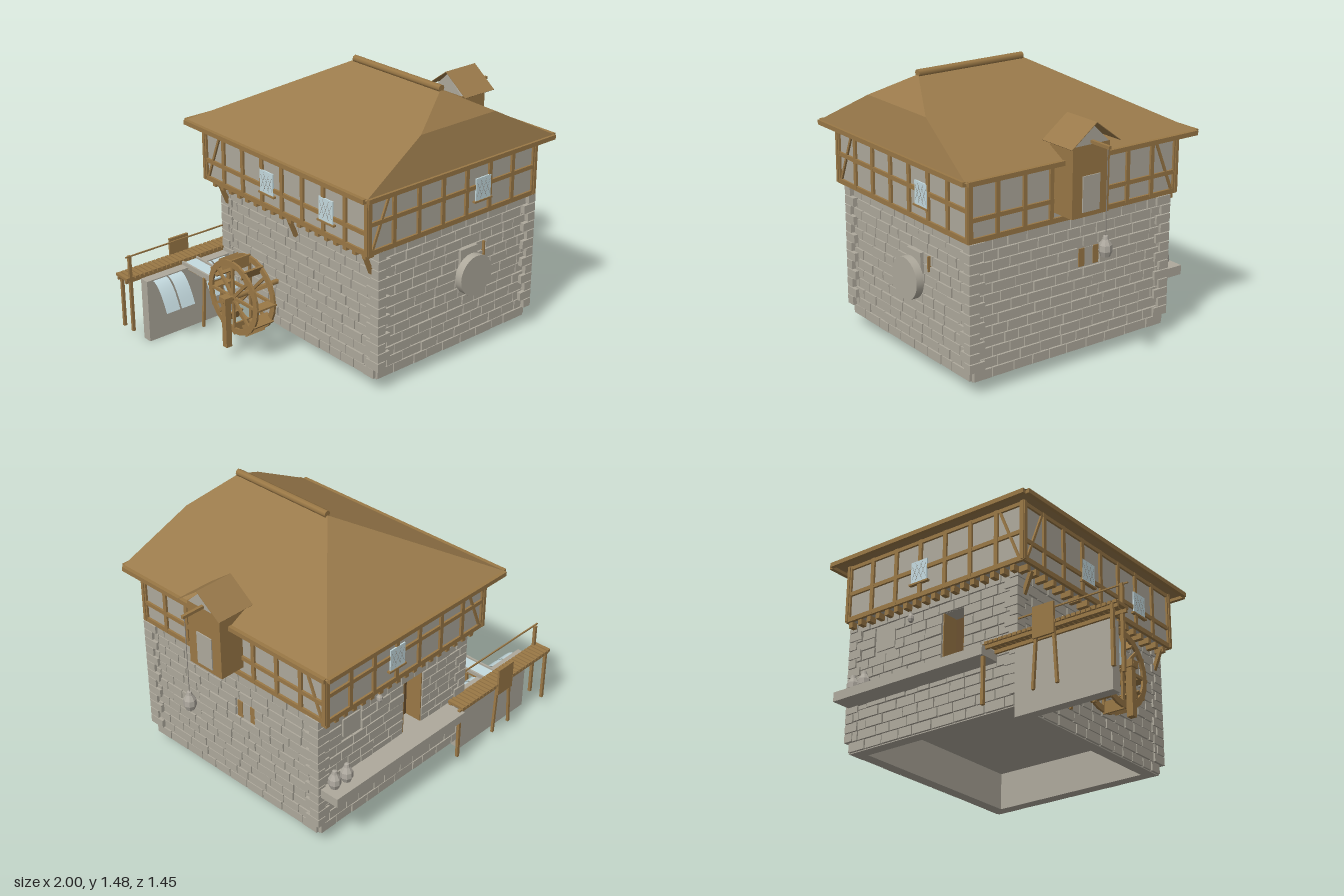
import * as THREE from 'three';
import { mergeGeometries } from 'three/addons/utils/BufferGeometryUtils.js';
import { ConvexGeometry } from 'three/addons/geometries/ConvexGeometry.js';

const material = (name, color, extra = {}) => {
  const m = new THREE.MeshStandardMaterial({ color, ...extra });
  m.name = name;
  return m;
};
const stone = material('stone', 0xaea99c);
const plaster = material('plaster', 0xaea99c);
const timber = material('timber', 0x9a7846);
const thatch = material('roof brown', 0x9a7a4b);
const darkWood = material('dark wood', 0x6a5030);
const water = material('water', 0xc4dadf, { side: THREE.DoubleSide });
const sackGrey = material('sack grey', 0xaea99f, { flatShading: true });
const rope = material('rope', 0x8f8a82);

// Box geometry given by its minimum and maximum corners
const boxGeo = (x0, x1, y0, y1, z0, z1) =>
  new THREE.BoxGeometry(x1 - x0, y1 - y0, z1 - z0).translate((x0 + x1) / 2, (y0 + y1) / 2, (z0 + z1) / 2);

function add(parent, name, geometry, mat) {
  const mesh = new THREE.Mesh(geometry, mat);
  mesh.name = name;
  parent.add(mesh);
  return mesh;
}
const box = (parent, name, mat, ...b) => add(parent, name, boxGeo(...b), mat);

// Square or round bar between two points
function bar(parent, name, mat, a, b, r, sides = 4) {
  const p = new THREE.Vector3(...a), q = new THREE.Vector3(...b), d = q.clone().sub(p);
  const g = sides === 4 ? new THREE.BoxGeometry(r * 1.4, d.length(), r * 1.4) : new THREE.CylinderGeometry(r, r, d.length(), sides);
  const mesh = add(parent, name, g, mat);
  mesh.quaternion.setFromUnitVectors(new THREE.Vector3(0, 1, 0), d.normalize());
  mesh.position.copy(p.add(q).multiplyScalar(0.5));
  return mesh;
}

let seed = 7;
const rand = () => (seed = (seed * 16807) % 2147483647) / 2147483647;

// Group whose local z points out of one wall: 0 front, 1 right, 2 back, 3 left
function face(parent, side, distance, name) {
  const g = new THREE.Group();
  g.name = name;
  g.rotation.y = side * Math.PI / 2;
  g.position.set(distance * [0, 1, 0, -1][side], 0, distance * [1, 0, -1, 0][side]);
  parent.add(g);
  return g;
}

// Courses of raised blocks, leaving openings free
function masonry(u0, u1, holes) {
  const geos = [], rows = 13, y0 = 0.07, h = 0.71 / rows, gap = 0.006;
  for (let r = 0; r < rows; r++) {
    const a = y0 + r * h, b = a + h - gap;
    let spans = [[u0, u1]];
    for (const [h0, h1, ha, hb] of holes) {
      if (b <= ha || a >= hb) continue;
      spans = spans.flatMap(([s, e]) => [[s, Math.min(e, h0)], [Math.max(s, h1), e]]).filter(([s, e]) => e - s > 0.015);
    }
    for (const [s, e] of spans) {
      let u = s, len = r % 2 ? 0.06 : 0.11;
      while (u < e - 0.001) {
        let end = u + len;
        if (e - end < 0.04) end = e;
        geos.push(boxGeo(u, end - gap, a, b, -0.01, 0.01 + rand() * 0.005));
        u = end;
        len = 0.075 + rand() * 0.07;
      }
    }
  }
  return mergeGeometries(geos);
}

function leadedWindow(parent, u, y) {
  const w = 0.052, h = 0.06;
  box(parent, 'windowPane', water, u - w, u + w, y - h, y + h, 0.006, 0.0135);
  box(parent, 'windowSill', timber, u - w - 0.01, u + w + 0.01, y - h - 0.01, y - h, 0, 0.018);
  for (let i = -1; i <= 1; i++) for (const s of [-1, 1]) {
    const half = 0.05 - Math.abs(i) * 0.012, c = u + i * 0.028;
    bar(parent, 'windowLead', rope, [c - half * 0.45, y - s * half, 0.0135], [c + half * 0.45, y + s * half, 0.0135], 0.001);
  }
}

function sack(parent, name, x, y, z, s = 1) {
  const pts = [[0, 0], [0.023, 0], [0.034, 0.028], [0.032, 0.058], [0.016, 0.085], [0.012, 0.102], [0, 0.105]];
  add(parent, name, new THREE.LatheGeometry(pts.map(([r, h]) => new THREE.Vector2(r * s, h * s)), 8), sackGrey).position.set(x, y, z);
}

function buildBase(root) {
  const g = new THREE.Group();
  g.name = 'stoneStorey';
  root.add(g);
  // Core of the walls with a doorway left open at the back
  const core = [[-0.355, 0.70, 0.27, 0.78, -0.49, 0.615], [-0.355, -0.04, 0.27, 0.78, -0.585, -0.49],
    [0.1, 0.70, 0.27, 0.78, -0.585, -0.49], [-0.04, 0.1, 0.27, 0.36, -0.585, -0.49], [-0.04, 0.1, 0.67, 0.78, -0.585, -0.49]];
  add(g, 'wallCore', mergeGeometries(core.map(b => boxGeo(...b))), stone);
  for (const [x0, x1, z0, z1] of [[-0.355, 0.70, 0.55, 0.615], [-0.355, 0.70, -0.585, -0.52], [-0.355, -0.29, -0.52, 0.55], [0.635, 0.70, -0.52, 0.55]])
    box(g, 'foundationWall', stone, x0, x1, 0.065, 0.27, z0, z1);
  const walls = [[-0.355, 0.70, 0.615, []], [-0.615, 0.585, 0.70, [[0.02, 0.155, 0.505, 0.605]]],
    [-0.70, 0.355, 0.585, [[-0.1, 0.04, 0.36, 0.67], [-0.55, -0.41, 0.57, 0.69]]], [-0.585, 0.615, 0.355, []]];
  walls.forEach(([u0, u1, d, holes], i) => add(face(g, i, d, 'stoneWall'), 'stoneBlocks', masonry(u0, u1, holes), stone));
  // Alternating corner stones
  const quoins = [];
  for (let r = 0; r < 13; r++) for (const sx of [-1, 1]) for (const sz of [-1, 1]) {
    const lx = r % 2 ? 0.08 : 0.05, lz = r % 2 ? 0.06 : 0.09, y = 0.125 + r * 0.0505;
    const X = sx > 0 ? 0.727 : -0.376, Z = sz > 0 ? 0.65 : -0.605;
    quoins.push(boxGeo(Math.min(X, X - sx * lx), Math.max(X, X - sx * lx), y, y + 0.045, Math.min(Z, Z - sz * lz), Math.max(Z, Z - sz * lz)));
  }
  add(g, 'cornerStones', mergeGeometries(quoins), stone);
  // Shuttered window on the right wall
  const right = face(g, 1, 0.70, 'shutteredWindow');
  box(right, 'windowRecess', stone, 0.06, 0.115, 0.508, 0.602, 0, 0.003);
  for (const u of [0.025, 0.115]) box(right, 'shutter', timber, u, u + 0.035, 0.508, 0.602, 0, 0.006);
  // Recessed back door, niche and ledge
  const back = face(g, 2, 0.585, 'backDetails');
  box(back, 'door', darkWood, -0.1, 0.04, 0.36, 0.67, -0.095, -0.088);
  for (const u of [-0.1, 0.034]) box(back, 'doorLining', timber, u, u + 0.006, 0.36, 0.67, -0.09, 0.006);
  box(back, 'niche', stone, -0.54, -0.42, 0.58, 0.68, 0, 0.008);
  box(g, 'backLedge', stone, -0.25, 0.71, 0.31, 0.36, -0.715, -0.58);
  sack(g, 'ledgeSack', 0.65, 0.36, -0.64);
  sack(g, 'ledgeSack', 0.57, 0.36, -0.645);
  sack(g, 'hangingLantern', 0.3, 0.675, -0.61, 0.5);
  // Millstone leaning on the front wall
  add(g, 'millstone', new THREE.CylinderGeometry(0.11, 0.11, 0.042, 24).rotateX(Math.PI / 2), stone).position.set(0.25, 0.475, 0.68);
  box(g, 'millstoneBracket', stone, 0.19, 0.31, 0.5, 0.612, 0.62, 0.645);
  box(g, 'millstonePeg', timber, 0.362, 0.37, 0.53, 0.61, 0.62, 0.64);
}

function buildUpper(root) {
  const g = new THREE.Group();
  g.name = 'timberStorey';
  root.add(g);
  box(g, 'plasterWalls', plaster, -0.435, 0.708, 0.78, 1.106, -0.638, 0.638);
  // [u0, u1, distance, bays, rail height, brace end, window centres]
  const sides = [[-0.447, 0.72, 0.638, 7, 0.935, -1, [0.33]], [-0.65, 0.65, 0.708, 8, 0.89, 1, []],
    [-0.72, 0.447, 0.638, 7, 0.935, 1, [-0.22]], [-0.65, 0.65, 0.435, 8, 0.89, -1, [-0.115, 0.345]]];
  sides.forEach(([u0, u1, d, bays, rail, end, windows], i) => {
    const f = face(g, i, d, 'timberFrame'), step = (u1 - u0 - 0.022) / bays;
    for (let k = 0; k <= bays; k++) {
      const u = u0 + 0.011 + k * step, w = k % bays ? 0.011 : 0.016;
      box(f, 'post', timber, u - w, u + w, 0.78, 1.1, -0.005, 0.012);
    }
    for (const [y, h] of [[0.788, 0.013], [rail, 0.011], [1.088, 0.01]]) box(f, 'rail', timber, u0, u1, y - h, y + h, -0.005, 0.0115);
    const outer = end < 0 ? u0 + 0.035 : u1 - 0.035;
    bar(f, 'brace', timber, [outer, 0.8, 0.004], [outer - end * 0.12, 1.09, 0.004], 0.009);
    windows.forEach(u => leadedWindow(f, u, 0.92));
  });
  // Joist ends carrying the overhang
  for (let k = 0; k < 18; k++) {
    const t = k / 17;
    box(g, 'leftJoist', timber, -0.43, -0.34, 0.745, 0.777, -0.6 + t * 1.19, -0.575 + t * 1.19);
    box(g, 'backJoist', timber, -0.38 + t * 1.06, -0.355 + t * 1.06, 0.745, 0.777, -0.638, -0.57);
  }
  for (const z of [-0.55, 0.02, 0.59]) bar(g, 'leftBracket', timber, [-0.415, 0.76, z], [-0.37, 0.65, z], 0.014);
}

function buildRoof(root) {
  const g = new THREE.Group();
  g.name = 'roof';
  root.add(g);
  const cx = 0.136, y0 = 1.103, top = 1.45, half = 0.65;
  const at = (s, y, z) => new THREE.Vector3(cx + s * half * (1 - (y - y0) / (top - y0)), y, z);
  const pts = [at(0, top, -0.1), at(0, top, 0.525)];
  for (const s of [-1, 1]) pts.push(at(s, y0, -0.72), at(s, y0, 0.71), at(s, 1.315, 0.655));
  add(g, 'roofSlopes', new ConvexGeometry(pts), thatch);
  // Fascia boards around the eaves
  for (const x of [-0.524, 0.776]) box(g, 'sideFascia', timber, x, x + 0.021, 1.086, 1.11, -0.71, 0.7);
  for (const z of [-0.73, 0.701]) box(g, 'endFascia', timber, -0.503, 0.776, 1.086, 1.11, z, z + 0.021);
  bar(g, 'ridgeCap', timber, [cx, 1.456, -0.1], [cx, 1.456, 0.53], 0.019, 8);
}

function buildHoist(root) {
  const g = new THREE.Group();
  g.name = 'hoist';
  root.add(g);
  const cz = 0.031;
  box(g, 'hoistBody', timber, 0.68, 0.85, 0.83, 1.185, cz - 0.113, cz + 0.113);
  const gable = new THREE.Shape([[-0.105, 0], [0.105, 0], [0, 0.1]].map(p => new THREE.Vector2(...p)));
  const wall = add(g, 'hoistGable', new THREE.ExtrudeGeometry(gable, { depth: 0.17, bevelEnabled: false }), plaster);
  wall.rotation.y = Math.PI / 2;
  wall.position.set(0.68, 1.185, cz);
  box(g, 'hoistDoor', plaster, 0.85, 0.856, 0.855, 1.035, cz - 0.052, cz + 0.052);
  for (const s of [-1, 1]) {
    const slope = add(g, 'hoistRoof', new THREE.BoxGeometry(0.22, 0.003, 0.186), thatch);
    slope.position.set(0.775, 1.243, cz + s * 0.074);
    slope.rotation.x = s * 0.64;
  }
  box(g, 'hoistBeam', timber, 0.8, 0.98, 1.19, 1.206, cz - 0.008, cz + 0.008);
  bar(g, 'hoistRope', rope, [0.965, 0.75, cz], [0.965, 1.2, cz], 0.002);
  sack(g, 'hoistSack', 0.965, 0.66, cz);
}

function buildWheel(root) {
  const g = new THREE.Group();
  g.name = 'waterWheel';
  g.position.set(0, 0.33, -0.145);
  root.add(g);
  for (const x of [-0.655, -0.545]) {
    const ring = new THREE.Shape().absarc(0, 0, 0.205, 0, Math.PI * 2);
    ring.holes.push(new THREE.Path().absarc(0, 0, 0.172, 0, Math.PI * 2));
    const rim = add(g, 'wheelRim', new THREE.ExtrudeGeometry(ring, { depth: 0.012, bevelEnabled: false, curveSegments: 12 }), timber);
    rim.rotation.y = Math.PI / 2;
    rim.position.x = x - 0.006;
    for (let i = 0; i < 4; i++) {
      const spoke = box(g, 'spoke', timber, x - 0.006, x + 0.006, -0.18, 0.18, -0.008, 0.008);
      spoke.rotation.x = i * Math.PI / 4;
    }
  }
  for (let i = 0; i < 12; i++)
    box(g, 'paddle', timber, -0.66, -0.54, 0.15, 0.212, -0.005, 0.005).rotation.x = i * Math.PI / 6;
  bar(g, 'axle', timber, [-0.73, 0, 0], [-0.35, 0, 0], 0.014, 8);
  box(g, 'bearingPost', timber, -0.72, -0.685, -0.265, -0.015, -0.017, 0.017);
  box(g, 'bearingBlock', timber, -0.728, -0.68, -0.015, 0.022, -0.026, 0.026);
}

function buildDam(root) {
  const g = new THREE.Group();
  g.name = 'dam';
  root.add(g);
  box(g, 'damWall', stone, -0.91, -0.36, 0, 0.35, -0.605, -0.55);
  // Curved sheets spilling over the dam
  for (const x of [-0.83, -0.735, -0.545, -0.45]) {
    const sheet = new THREE.PlaneGeometry(0.085, 1, 1, 6), p = sheet.attributes.position;
    for (let i = 0; i < p.count; i++) {
      const t = 0.5 - p.getY(i);
      p.setXYZ(i, p.getX(i) + x, 0.345 - 0.15 * t * t, -0.555 + 0.12 * t);
    }
    sheet.computeVertexNormals();
    add(g, 'spillWater', sheet, water);
  }
  // Flume feeding the wheel
  box(g, 'flumeWater', water, -0.64, -0.56, 0.352, 0.36, -0.6, -0.33);
  box(g, 'flumeFloor', timber, -0.65, -0.55, 0.338, 0.35, -0.6, -0.34);
  for (const x of [-0.65, -0.56]) box(g, 'flumeSide', stone, x, x + 0.01, 0.338, 0.37, -0.6, -0.34);
  // Plank walkway with rail and sluice gate
  for (let i = 0; i < 27; i++) box(g, 'plank', timber, -1 + i * 0.028, -0.979 + i * 0.028, 0.363, 0.378, -0.7, -0.6);
  for (const z of [-0.69, -0.62]) box(g, 'walkwayBeam', timber, -1, -0.245, 0.345, 0.363, z, z + 0.012);
  bar(g, 'handRail', timber, [-1, 0.5, -0.6], [-0.36, 0.5, -0.6], 0.005);
  for (const [x, y, z] of [[-0.972, 0.37, -0.689], [-0.238, 0.37, -0.689], [-0.972, 0.5, -0.608]])
    box(g, 'walkwayPost', timber, x - 0.008, x + 0.008, 0.065, y, z - 0.008, z + 0.008);
  box(g, 'sluiceGate', timber, -0.66, -0.54, 0.31, 0.47, -0.706, -0.694);
  // Splayed legs under the gate and the flume
  for (const s of [-1, 1]) for (const z of [-0.69, -0.4])
    bar(g, 'splayedLeg', timber, [-0.6 + s * 0.068, 0.065, z], [-0.6 + s * 0.05, 0.345, z], 0.01);
}

export function createModel() {
  const root = new THREE.Group();
  root.name = 'watermill';
  [buildBase, buildUpper, buildRoof, buildHoist, buildWheel, buildDam].forEach(build => build(root));
  return root;
}
